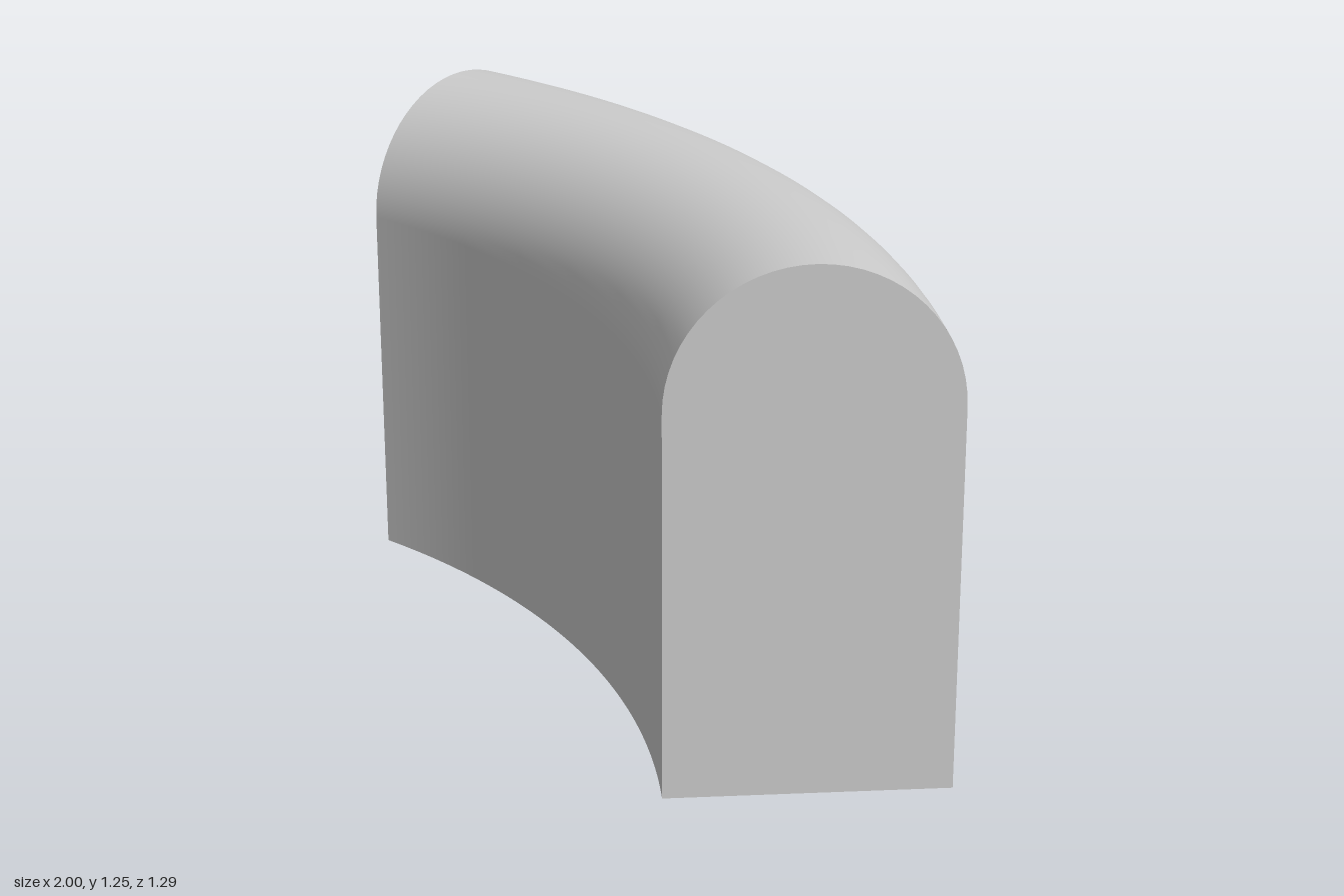
import * as THREE from 'three';

const OUTER = 2.828, INNER = 2.168, SPRING = 0.92, WALL = 0.08;
const MID = (OUTER + INNER) / 2, HALF = (OUTER - INNER) / 2;
const START = Math.PI * 0.75, SWEEP = Math.PI / 4;

// Upright arch cross-section: up the outer wall, over the top, down the inner wall
function archProfile(half) {
  const points = [new THREE.Vector2(MID + half, 0)];
  for (let i = 0; i <= 32; i++) {
    const a = (i / 32) * Math.PI;
    points.push(new THREE.Vector2(MID + half * Math.cos(a), SPRING + half * Math.sin(a)));
  }
  points.push(new THREE.Vector2(MID - half, 0));
  return points;
}

export function createModel() {
  const model = new THREE.Group();
  model.name = 'curvedArchSegment';
  const grey = new THREE.MeshStandardMaterial({ color: 0xcccccc, side: THREE.DoubleSide });
  grey.name = 'lightGrey';

  // Everything turns about the centre of the bend
  const bend = new THREE.Group();
  bend.name = 'bend';
  bend.position.set(-1, 0, 2.178);
  model.add(bend);

  const add = (name, geometry) => {
    const mesh = new THREE.Mesh(geometry, grey);
    mesh.name = name;
    bend.add(mesh);
    return mesh;
  };
  const sweep = (name, points) => add(name, new THREE.LatheGeometry(points, 48, START, SWEEP));

  // Outer skin and the hollow inside
  const outline = archProfile(HALF);
  sweep('outerShell', outline);
  sweep('innerShell', archProfile(HALF - WALL).reverse());

  // Bottom edges of the two walls
  const rim = (name, r) => sweep(name, [new THREE.Vector2(r, 0), new THREE.Vector2(r + WALL, 0)]);
  rim('innerWallRim', INNER);
  rim('outerWallRim', OUTER - WALL);

  // Thin plates closing both ends
  const cap = new THREE.ShapeGeometry(new THREE.Shape(outline));
  add('straightEnd', cap).rotation.y = START + SWEEP - Math.PI / 2;
  add('angledEnd', cap).rotation.y = START - Math.PI / 2;

  return model;
}
